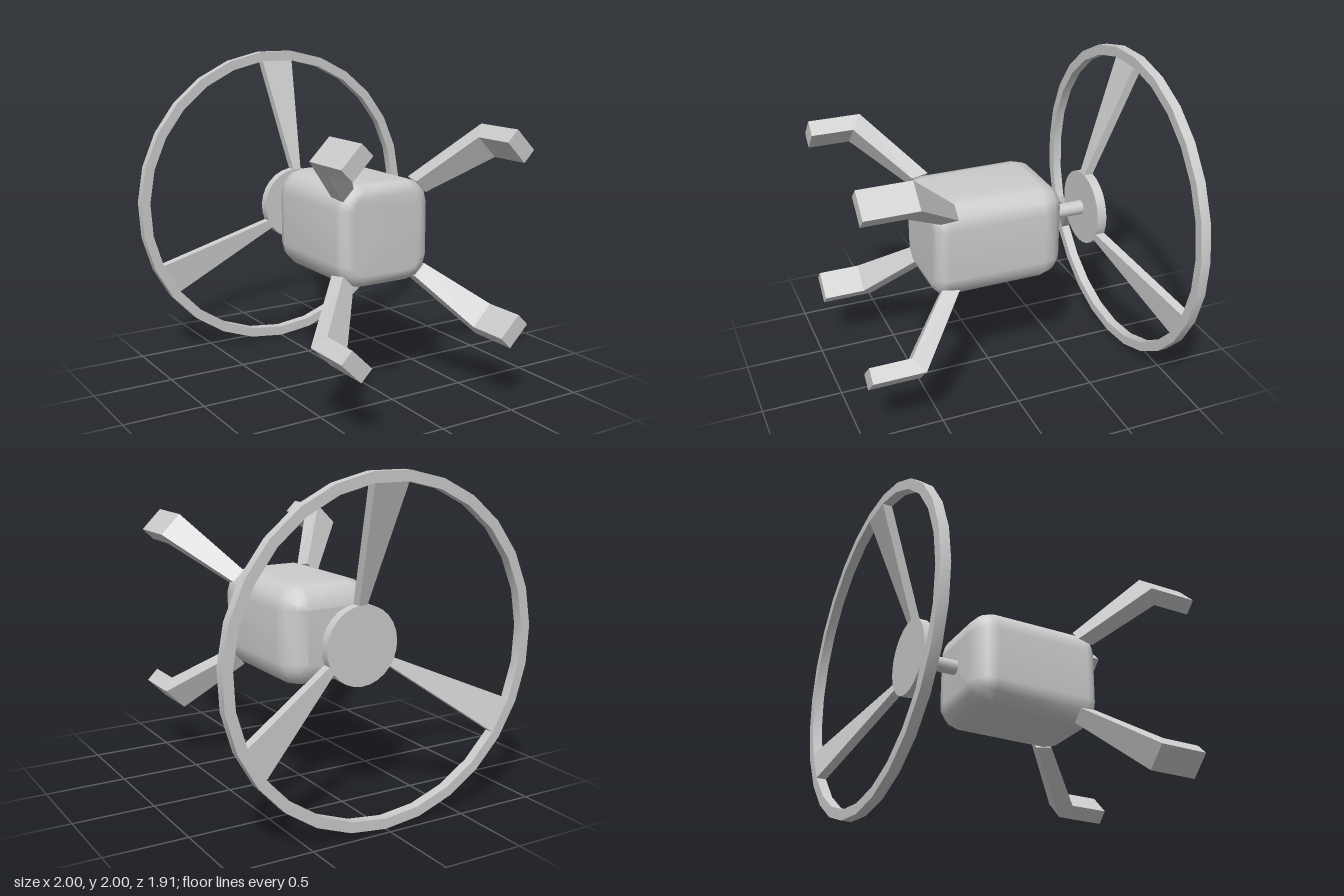
import * as THREE from 'three';
import { toCreasedNormals } from 'three/addons/utils/BufferGeometryUtils.js';

const SIDES = 27;               // rim and hub share the same facets
const STEP = (Math.PI * 2) / SIDES;
const HUB_R = 0.236, RIM_IN = 0.94, RIM_OUT = 1.002, THICK = 0.06;
const HUB_BACK = -0.70, RIM_BACK = -0.955;

const grey = new THREE.MeshStandardMaterial({ color: 0xcccccc });

function addMesh(parent, name, geometry) {
  const mesh = new THREE.Mesh(geometry, grey);
  mesh.name = name;
  parent.add(mesh);
  return mesh;
}

// Skin a list of equal-length rings of [x, y, z] and cap both ends
function loft(rings) {
  const n = rings[0].length, index = [];
  rings.slice(1).forEach((_, i) => {
    for (let j = 0; j < n; j++) {
      const a = i * n + j, b = i * n + (j + 1) % n;
      index.push(a, b, b + n, a, b + n, a + n);
    }
  });
  const last = (rings.length - 1) * n;
  for (let j = 1; j < n - 1; j++) {
    index.push(0, j + 1, j, last, last + j, last + j + 1);
  }
  const geo = new THREE.BufferGeometry();
  geo.setAttribute('position', new THREE.Float32BufferAttribute(rings.flat(2), 3));
  geo.setIndex(index);
  geo.computeVertexNormals();
  return geo;
}

function flatLoft(rings) {
  const geo = loft(rings).toNonIndexed();
  geo.computeVertexNormals();
  return geo;
}

// Flat polygon plate with a vertex at the bottom, optionally with a round opening
function plate(radius, hole, zBack) {
  const polygon = (r) => Array.from({ length: SIDES }, (_, k) => {
    const a = -Math.PI / 2 + k * STEP;
    return new THREE.Vector2(r * Math.cos(a), r * Math.sin(a));
  });
  const shape = new THREE.Shape(polygon(radius));
  if (hole) shape.holes.push(new THREE.Path(polygon(hole)));
  const geo = new THREE.ExtrudeGeometry(shape, { depth: THICK, bevelEnabled: false });
  geo.translate(0, 0, zBack);
  return toCreasedNormals(geo, 0.5);
}

// Rounded-square ring of the body, pulled in by an inset
function bodyRing(inset, z) {
  const h = 0.31 - inset, r = Math.max(0.15 - inset, 0.01), ring = [];
  for (let q = 0; q < 4; q++) {
    const mid = Math.PI / 4 + q * Math.PI / 2;
    const cx = Math.sign(Math.cos(mid)) * (h - r), cy = Math.sign(Math.sin(mid)) * (h - r);
    for (let s = 0; s <= 3; s++) {
      const a = q * Math.PI / 2 + s * Math.PI / 6;
      ring.push([cx + r * Math.cos(a), cy + r * Math.sin(a), z]);
    }
  }
  return ring;
}

function bodyGeometry() {
  const rings = [], backR = 0.14, frontR = 0.08;
  for (let s = 0; s <= 3; s++) {
    const a = s * Math.PI / 6;
    rings.push(bodyRing(backR * (1 - Math.sin(a)), -0.39 + backR * (1 - Math.cos(a))));
  }
  for (let s = 0; s <= 3; s++) {
    const a = s * Math.PI / 6;
    rings.push(bodyRing(frontR * (1 - Math.cos(a)), 0.44 - frontR * (1 - Math.sin(a))));
  }
  return loft(rings);
}

export function createModel() {
  const model = new THREE.Group();
  model.name = 'model';
  const root = new THREE.Group();
  root.name = 'assembly';
  root.position.y = 1.002;
  model.add(root);

  // Rounded body
  addMesh(root, 'body', bodyGeometry());

  // Shaft from body to hub
  const shaft = new THREE.CylinderGeometry(0.045, 0.045, 0.3, 16);
  shaft.rotateX(Math.PI / 2);
  shaft.translate(0, 0, -0.51);
  addMesh(root, 'shaft', shaft);

  // Wheel hub and rim
  addMesh(root, 'hub', plate(HUB_R, 0, HUB_BACK));
  addMesh(root, 'rim', plate(RIM_OUT, RIM_IN, RIM_BACK));

  // Three spokes, each bridging a hub facet to a rim facet
  const spokeRing = (r, zBack) => {
    const w = r * Math.sin(STEP / 2), y = r * Math.cos(STEP / 2), zf = zBack + THICK;
    return [[w, y, zBack], [-w, y, zBack], [-w, y, zf], [w, y, zf]];
  };
  const spoke = flatLoft([spokeRing(HUB_R, HUB_BACK), spokeRing(RIM_IN, RIM_BACK)]);
  for (let k = 0; k < 3; k++) {
    addMesh(root, 'spoke' + (k + 1), spoke).rotation.z = k * Math.PI * 2 / 3;
  }

  // Four bent arms from the body corners, pointing forward
  const armRing = (w, rOut, zOut, rIn, zIn) =>
    [[w, rOut, zOut], [-w, rOut, zOut], [-w, rIn, zIn], [w, rIn, zIn]];
  const arm = flatLoft([
    armRing(0.05, 0.38, 0.305, 0.36, 0.41),
    armRing(0.088, 0.815, 0.637, 0.718, 0.70),
    armRing(0.088, 0.815, 0.955, 0.718, 0.955),
  ]);
  ['upperLeftArm', 'upperRightArm', 'lowerRightArm', 'lowerLeftArm'].forEach((name, k) => {
    addMesh(root, name, arm).rotation.z = -Math.PI / 4 + k * Math.PI / 2;
  });

  return model;
}
